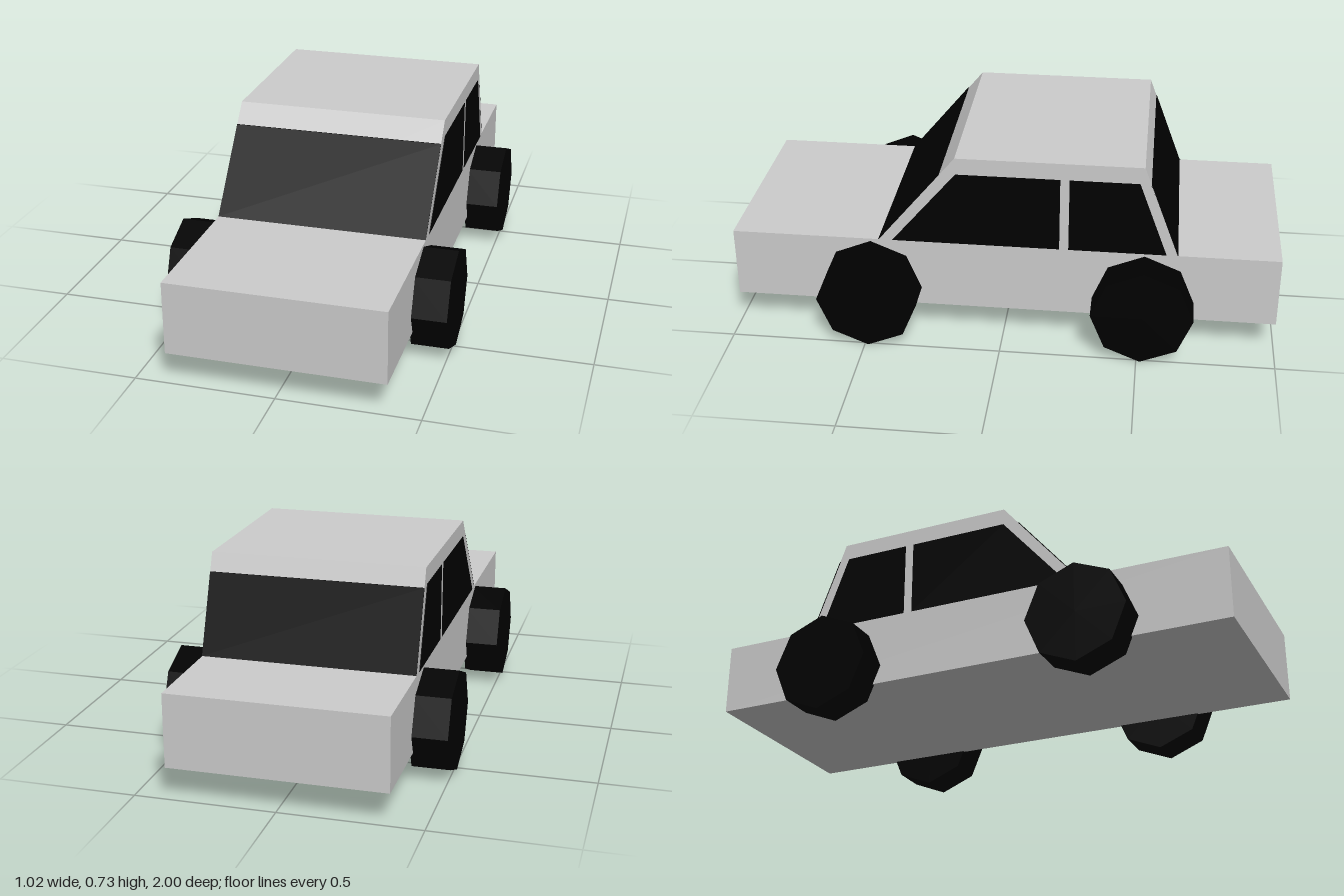
import * as THREE from 'three';

const paint = new THREE.MeshStandardMaterial({ color: 0xcccccc });
const black = new THREE.MeshStandardMaterial({ color: 0x000000 });
const WIDTH = 0.77;

// Side profile given as [z, y] points, extruded along x and centred on x
function extrudeProfile(name, points, width, material, x = 0) {
  const shape = new THREE.Shape(points.map(([z, y]) => new THREE.Vector2(z, y)));
  const geometry = new THREE.ExtrudeGeometry(shape, { depth: width, bevelEnabled: false });
  geometry.translate(0, 0, -width / 2);
  geometry.rotateY(-Math.PI / 2);
  const mesh = new THREE.Mesh(geometry, material);
  mesh.position.x = x;
  mesh.name = name;
  return mesh;
}

// Thin full-width pane lying on a sloping edge of the cabin
function slopedPane(name, [z0, y0], [z1, y1]) {
  const t = 0.002 * Math.sign(z0);
  return extrudeProfile(name, [[z0 - t, y0], [z0 + t, y0], [z1 + t, y1], [z1 - t, y1]], WIDTH, black);
}

export function createModel() {
  const car = new THREE.Group();
  car.name = 'car';

  // Lower body
  const body = new THREE.Mesh(new THREE.BoxGeometry(WIDTH, 0.265, 2), paint);
  body.position.y = 0.2475;
  body.name = 'body';
  car.add(body);

  // Cabin
  car.add(extrudeProfile('cabin',
    [[-0.63, 0.38], [0.455, 0.38], [0.17, 0.725], [-0.5, 0.725]], WIDTH, paint));

  // Front and rear glass
  car.add(slopedPane('windscreen', [0.455, 0.381], [0.228, 0.656]));
  car.add(slopedPane('rearWindow', [-0.63, 0.381], [-0.5245, 0.66]));

  // Side windows and wheels, mirrored
  const frontWindow = [[-0.205, 0.381], [0.405, 0.381], [0.168, 0.662], [-0.205, 0.662]];
  const rearWindow = [[-0.59, 0.381], [-0.238, 0.381], [-0.238, 0.662], [-0.485, 0.662]];
  const wheelGeometry = new THREE.CylinderGeometry(0.185, 0.185, 0.135, 8).toNonIndexed();
  wheelGeometry.rotateZ(Math.PI / 2);
  wheelGeometry.computeVertexNormals();

  for (const [side, s] of [['left', 1], ['right', -1]]) {
    const x = s * WIDTH / 2;
    car.add(extrudeProfile(side + 'FrontSideWindow', frontWindow, 0.004, black, x));
    car.add(extrudeProfile(side + 'RearSideWindow', rearWindow, 0.004, black, x));
    for (const [end, z] of [['Front', 0.487], ['Rear', -0.513]]) {
      const wheel = new THREE.Mesh(wheelGeometry, black);
      wheel.position.set(s * 0.4425, 0.185, z);
      wheel.name = side + end + 'Wheel';
      car.add(wheel);
    }
  }
  return car;
}
